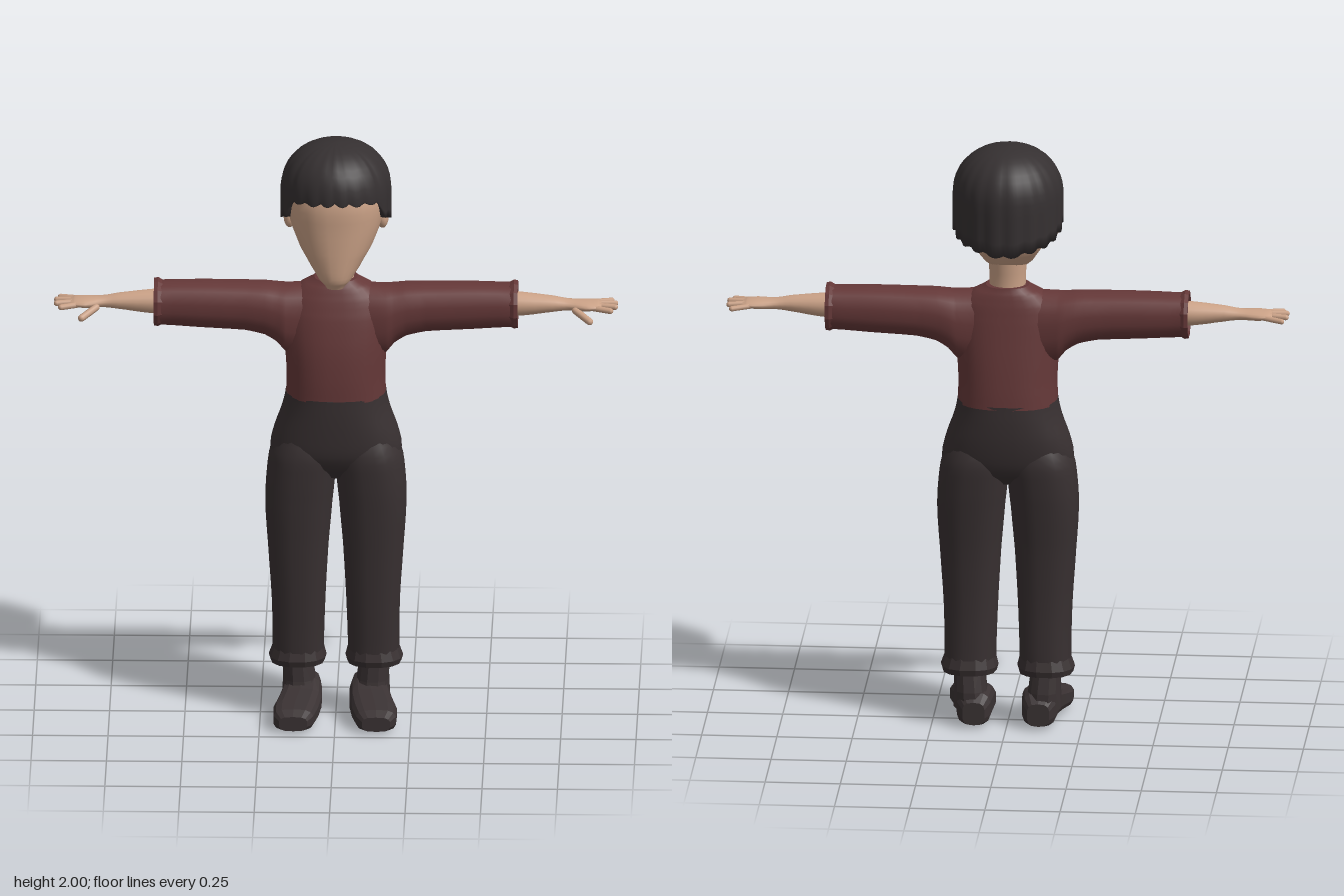
import * as THREE from 'three';

const mat = (name, color) => {
  const m = new THREE.MeshStandardMaterial({ color });
  m.name = name;
  return m;
};

// Cubic interpolation between section rows
function refine(rows, sub) {
  const out = [];
  for (let i = 0; i < rows.length - 1; i++) {
    const a = rows[Math.max(i - 1, 0)], b = rows[i], c = rows[i + 1], d = rows[Math.min(i + 2, rows.length - 1)];
    for (let k = 0; k < sub; k++) {
      const t = k / sub;
      out.push(b.map((v, j) => j === 0 ? v + (c[0] - v) * t
        : 0.5 * (2 * v + (c[j] - a[j]) * t + (2 * a[j] - 5 * v + 4 * c[j] - d[j]) * t * t
          + (3 * v - a[j] - 3 * c[j] + d[j]) * t * t * t)));
    }
  }
  out.push(rows[rows.length - 1]);
  return out;
}

// Closed loft; each row is [position on axis, u min, u max, v min, v max].
// Axis x uses u=y v=z, axis y uses u=z v=x, axis z uses u=x v=y.
function loft(axis, rows, { n = 20, sub = 3, e = 1, flat = false } = {}) {
  const place = { x: (t, u, v) => [t, u, v], y: (t, u, v) => [v, t, u], z: (t, u, v) => [u, v, t] }[axis];
  const secs = refine(rows, sub), pos = [], idx = [];
  const pw = s => Math.sign(s) * Math.pow(Math.abs(s), e);
  const ring = ([t, u0, u1, v0, v1]) => {
    for (let j = 0; j < n; j++) {
      const a = (j + 0.5) / n * Math.PI * 2;
      pos.push(...place(t, (u0 + u1) / 2 + (u1 - u0) / 2 * pw(Math.cos(a)), (v0 + v1) / 2 + (v1 - v0) / 2 * pw(Math.sin(a))));
    }
  };
  secs.forEach(ring);
  for (let i = 0; i < secs.length - 1; i++) for (let j = 0; j < n; j++) {
    const a = i * n + j, b = i * n + (j + 1) % n;
    idx.push(a, b, b + n, a, b + n, a + n);
  }
  // End caps
  [secs[0], secs[secs.length - 1]].forEach((s, k) => {
    const base = pos.length / 3;
    ring(s);
    pos.push(...place(s[0], (s[1] + s[2]) / 2, (s[3] + s[4]) / 2));
    for (let j = 0; j < n; j++) {
      const a = base + j, b = base + (j + 1) % n;
      if (k) idx.push(base + n, a, b); else idx.push(base + n, b, a);
    }
  });
  return finish(pos, idx, flat);
}

function finish(pos, idx, flat) {
  let g = new THREE.BufferGeometry();
  g.setAttribute('position', new THREE.Float32BufferAttribute(pos, 3));
  g.setIndex(idx);
  if (flat) g = g.toNonIndexed();
  g.computeVertexNormals();
  return g;
}

// Mirrored copy across x = 0 with corner order restored
function mirror(src) {
  const g = src.index ? src.toNonIndexed() : src.clone();
  g.scale(-1, 1, 1);
  for (const key of ['position', 'normal']) {
    const p = g.attributes[key];
    for (let i = 0; i < p.count; i += 3) {
      const b = [p.getX(i + 1), p.getY(i + 1), p.getZ(i + 1)];
      p.setXYZ(i + 1, p.getX(i + 2), p.getY(i + 2), p.getZ(i + 2));
      p.setXYZ(i + 2, ...b);
    }
  }
  return g;
}

// Rounded finger between two points
function finger(p, q, r) {
  const a = new THREE.Vector3(...p), b = new THREE.Vector3(...q), d = b.clone().sub(a);
  const g = new THREE.CapsuleGeometry(r, d.length() - r, 3, 8);
  g.applyQuaternion(new THREE.Quaternion().setFromUnitVectors(new THREE.Vector3(0, 1, 0), d.normalize()));
  const c = a.add(b).multiplyScalar(0.5);
  return g.translate(c.x, c.y, c.z);
}

// Bowl-shaped hair with locks and a hem that drops toward the back
function hairGeometry() {
  const n = 96, m = 14, pos = [], idx = [];
  const hem = [[0, 1.845], [0.85, 1.838], [1.1, 1.775], [1.57, 1.745], [2.2, 1.705], [Math.PI, 1.675]];
  const hemAt = a => {
    let i = 0;
    while (i < hem.length - 2 && a > hem[i + 1][0]) i++;
    const [a0, y0] = hem[i], [a1, y1] = hem[i + 1];
    return y0 + (y1 - y0) * (a - a0) / (a1 - a0);
  };
  for (let i = 0; i <= m + 1; i++) for (let j = 0; j < n; j++) {
    const th = j / n * Math.PI * 2, lock = Math.abs(Math.sin(th * 10 + 0.6 * Math.sin(th * 3)));
    const edge = hemAt(Math.min(th, Math.PI * 2 - th)) - 0.012 * lock;
    const s = Math.min(i / m, 1), phi = Math.min(s / 0.75, 1) * Math.PI / 2;
    const eq = Math.max(1.83, edge + 0.01);
    let y = eq + (2 - eq) * Math.pow(Math.cos(phi), 0.9);
    if (s > 0.75) y = eq + (edge - eq) * (s - 0.75) / 0.25;
    let r = Math.pow(Math.sin(phi), 0.88) * (1 - 0.035 * s * (1 - lock));
    if (i > m) r *= 0.72;
    const c = Math.cos(th);
    pos.push(0.185 * r * Math.sin(th), y, -0.02 + (c > 0 ? 0.193 : 0.197) * r * c);
  }
  for (let i = 0; i <= m; i++) for (let j = 0; j < n; j++) {
    const a = i * n + j, b = i * n + (j + 1) % n;
    idx.push(a, a + n, b + n);
    if (i) idx.push(a, b + n, b);
  }
  return finish(pos, idx, false);
}

export function createModel() {
  const model = new THREE.Group();
  model.name = 'person';
  const skin = mat('skin', 0xcba287), shirt = mat('maroon shirt', 0x653838);
  const trousers = mat('dark trousers', 0x383031), hair = mat('dark hair', 0x353031), shoe = mat('dark shoes', 0x3a3233);
  hair.side = THREE.DoubleSide;
  const add = (name, g, m) => {
    const mesh = new THREE.Mesh(g, m);
    mesh.name = name;
    model.add(mesh);
  };
  const pair = (name, g, m) => {
    add('left ' + name, g, m);
    add('right ' + name, mirror(g), m);
  };

  // Head, ears, neck and hair
  add('head', loft('y', [
    [1.533, 0.085, 0.138, -0.028, 0.028], [1.56, 0.015, 0.155, -0.055, 0.055], [1.60, -0.08, 0.16, -0.085, 0.085],
    [1.66, -0.14, 0.162, -0.122, 0.122], [1.74, -0.168, 0.163, -0.152, 0.152], [1.83, -0.175, 0.163, -0.163, 0.163],
    [1.90, -0.15, 0.13, -0.135, 0.135], [1.95, -0.08, 0.06, -0.07, 0.07]], { n: 28, e: 0.88 }), skin);
  pair('ear', new THREE.SphereGeometry(1, 12, 10).scale(0.02, 0.036, 0.028).translate(0.154, 1.73, -0.032), skin);
  add('neck', loft('y', [[1.46, -0.085, 0.03, -0.062, 0.062], [1.54, -0.082, 0.03, -0.06, 0.06], [1.63, -0.09, 0.04, -0.065, 0.065]]), skin);
  add('hair', hairGeometry(), hair);

  // Shirt
  add('shirt body', loft('y', [
    [1.12, -0.155, 0.115, -0.166, 0.166], [1.2, -0.149, 0.114, -0.164, 0.164], [1.3, -0.137, 0.105, -0.17, 0.17],
    [1.4, -0.122, 0.085, -0.175, 0.175], [1.46, -0.112, 0.066, -0.16, 0.16], [1.5, -0.103, 0.05, -0.118, 0.118],
    [1.525, -0.094, 0.038, -0.072, 0.072]], { n: 28, e: 0.85 }), shirt);
  pair('sleeve', loft('x', [
    [0.08, 1.25, 1.503, -0.105, 0.06], [0.165, 1.265, 1.5, -0.113, 0.068], [0.195, 1.30, 1.5, -0.113, 0.064],
    [0.235, 1.325, 1.503, -0.11, 0.06], [0.3, 1.34, 1.504, -0.106, 0.055], [0.45, 1.348, 1.505, -0.102, 0.05],
    [0.585, 1.356, 1.502, -0.098, 0.046]], { e: 0.85 }), shirt);
  pair('sleeve cuff', loft('x', [
    [0.57, 1.36, 1.5, -0.095, 0.044], [0.59, 1.35, 1.511, -0.105, 0.053], [0.603, 1.352, 1.508, -0.103, 0.051],
    [0.603, 1.362, 1.498, -0.093, 0.041], [0.588, 1.37, 1.49, -0.085, 0.035]], { n: 12, sub: 1, e: 0.9, flat: true }), shirt);

  // Forearms and hands
  pair('forearm and palm', loft('x', [
    [0.56, 1.39, 1.477, -0.068, 0.022], [0.63, 1.395, 1.472, -0.063, 0.02], [0.72, 1.408, 1.462, -0.052, 0.014],
    [0.775, 1.415, 1.452, -0.048, 0.012], [0.83, 1.415, 1.45, -0.06, 0.03], [0.865, 1.42, 1.447, -0.062, 0.028],
    [0.88, 1.426, 1.442, -0.055, 0.022]], { n: 16 }), skin);
  [['little finger', [0.85, 1.432, -0.05], [0.918, 1.428, -0.077], 0.009],
    ['ring finger', [0.86, 1.434, -0.03], [0.93, 1.431, -0.038], 0.01],
    ['middle finger', [0.86, 1.434, -0.008], [0.93, 1.432, 0.004], 0.01],
    ['index finger', [0.85, 1.432, 0.014], [0.915, 1.429, 0.037], 0.01],
    ['thumb', [0.79, 1.425, 0.012], [0.846, 1.399, 0.066], 0.012],
  ].forEach(([name, p, q, r]) => pair(name, finger(p, q, r), skin));

  // Trousers
  add('hips', loft('y', [
    [0.84, -0.075, 0.05, -0.1, 0.1], [0.88, -0.12, 0.085, -0.2, 0.2], [0.93, -0.14, 0.106, -0.219, 0.219],
    [1.0, -0.152, 0.113, -0.205, 0.205], [1.07, -0.156, 0.116, -0.18, 0.18], [1.13, -0.155, 0.116, -0.167, 0.167]],
  { n: 28, e: 0.88 }), trousers);
  pair('trouser leg', loft('y', [
    [0.2, -0.103, 0.066, 0.04, 0.21], [0.4, -0.1, 0.078, 0.034, 0.213], [0.6, -0.109, 0.09, 0.023, 0.226],
    [0.75, -0.125, 0.1, 0.01, 0.235], [0.85, -0.135, 0.105, 0, 0.23], [0.93, -0.137, 0.104, -0.005, 0.216],
    [1.02, -0.11, 0.08, 0.02, 0.17]], { e: 0.85 }), trousers);
  pair('trouser cuff', loft('y', [
    [0.172, -0.08, 0.045, 0.065, 0.185], [0.18, -0.108, 0.068, 0.037, 0.217], [0.2, -0.113, 0.075, 0.031, 0.223],
    [0.235, -0.102, 0.066, 0.04, 0.21]], { n: 14, sub: 1, e: 0.85, flat: true }), trousers);

  // Shoes
  pair('shoe ankle', loft('y', [
    [0.06, -0.108, 0.055, 0.055, 0.18], [0.12, -0.106, 0.045, 0.068, 0.177], [0.2, -0.09, 0.04, 0.078, 0.178]],
  { n: 12, sub: 1, e: 0.8, flat: true }), shoe);
  pair('shoe', loft('z', [
    [-0.112, 0.07, 0.145, 0.012, 0.09], [-0.09, 0.052, 0.165, 0.008, 0.12], [0, 0.045, 0.175, 0.012, 0.125],
    [0.06, 0.045, 0.188, 0.01, 0.105], [0.13, 0.055, 0.206, 0.004, 0.088], [0.185, 0.07, 0.204, 0, 0.075],
    [0.215, 0.09, 0.185, 0.008, 0.058]], { n: 14, sub: 1, e: 0.65, flat: true }), shoe);

  return model;
}
